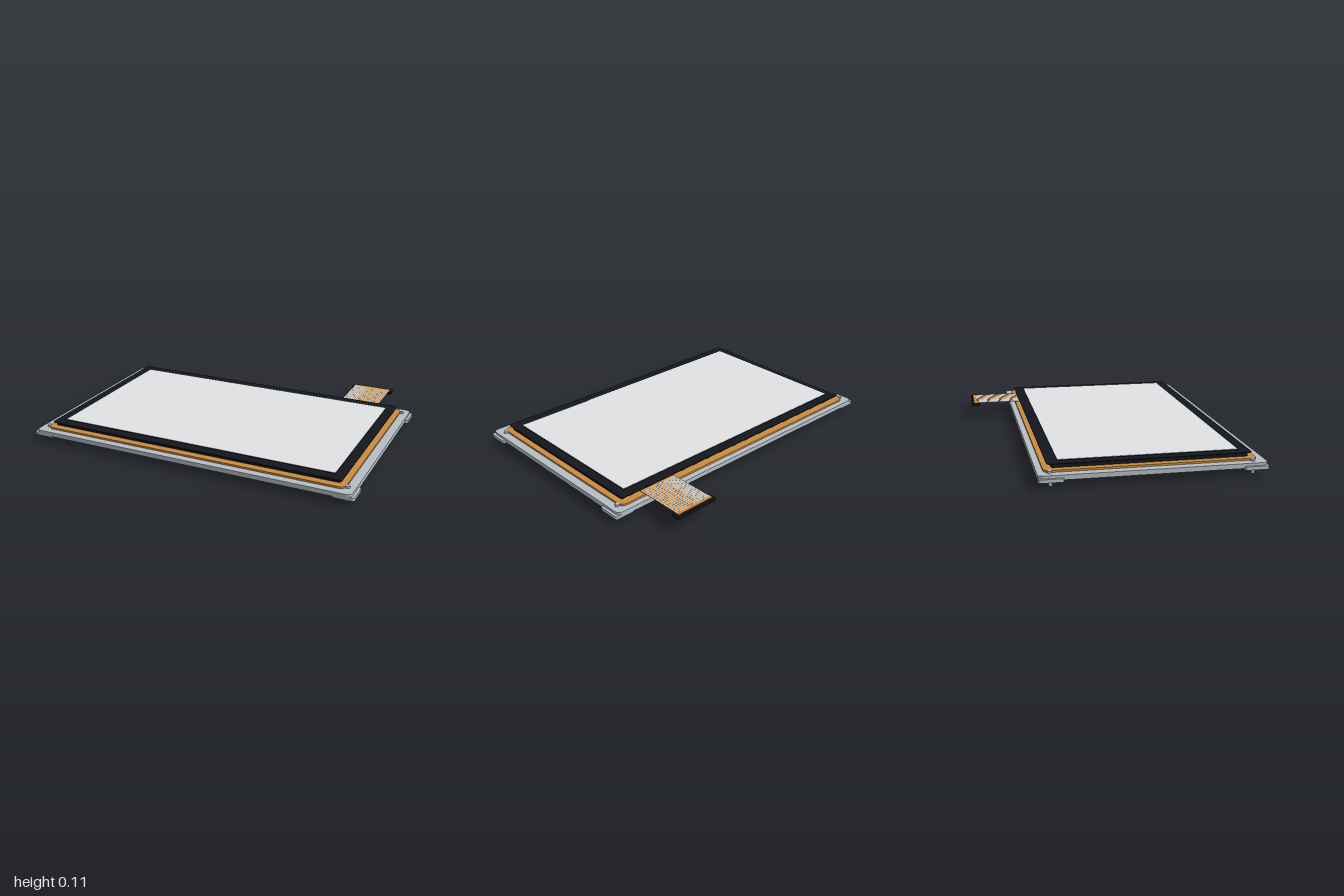
import * as THREE from 'three';

const mat = (name, color) => {
  const m = new THREE.MeshStandardMaterial({ color });
  m.name = name;
  return m;
};

// Rounded rectangle outline, centred on the origin
function outline(PathType, w, d, r) {
  const p = new PathType(), x = w / 2, y = d / 2;
  p.moveTo(-x + r, -y);
  p.lineTo(x - r, -y);
  p.absarc(x - r, -y + r, r, -Math.PI / 2, 0);
  p.lineTo(x, y - r);
  p.absarc(x - r, y - r, r, 0, Math.PI / 2);
  p.lineTo(-x + r, y);
  p.absarc(-x + r, y - r, r, Math.PI / 2, Math.PI);
  p.lineTo(-x, -y + r);
  p.absarc(-x + r, -y + r, r, Math.PI, Math.PI * 1.5);
  return p;
}

export function createModel() {
  const group = new THREE.Group();
  group.name = 'displayPanel';
  const steel = mat('steel', 0xb6bec6);
  const amber = mat('amber', 0xcb8c3f);
  const silver = mat('silver', 0xc2cad2);
  const black = mat('black', 0x14161e);
  const panelGrey = mat('panelGrey', 0x474c58);
  const connectorBlack = mat('connectorBlack', 0x14151a);
  const screenGrey = mat('screenGrey', 0xe2e3e4);

  const add = (name, geometry, material, x = 0, y = 0, z = 0) => {
    const mesh = new THREE.Mesh(geometry, material);
    mesh.name = name;
    mesh.position.set(x, y, z);
    group.add(mesh);
    return mesh;
  };

  // Flat layer from y0 to y1, centred on z, optionally with a window
  const layer = (name, material, w, d, r, y0, y1, z, hole) => {
    const s = outline(THREE.Shape, w, d, r);
    if (hole) s.holes.push(outline(THREE.Path, ...hole));
    const g = new THREE.ExtrudeGeometry(s, { depth: y1 - y0, bevelEnabled: false, curveSegments: 6 });
    g.rotateX(-Math.PI / 2);
    return add(name, g, material, 0, y0, z);
  };
  const box = (name, material, x0, x1, y0, y1, z0, z1) =>
    add(name, new THREE.BoxGeometry(x1 - x0, y1 - y0, z1 - z0), material,
      (x0 + x1) / 2, (y0 + y1) / 2, (z0 + z1) / 2);

  // Stacked layers, bottom to top
  layer('mountingFrame', steel, 1.97, 1.24, 0.03, 0.045, 0.072, 0.13, [1.73, 1.0, 0.01]);
  layer('gasket', amber, 1.87, 1.16, 0.035, 0.072, 0.083, 0.125, [1.65, 0.92, 0.01]);
  layer('panelBack', panelGrey, 1.79, 1.065, 0.012, 0.083, 0.085, 0.1275);
  layer('panelBody', black, 1.8, 1.075, 0.012, 0.085, 0.106, 0.1275);
  layer('coverGlass', black, 1.825, 1.12, 0.02, 0.106, 0.11, 0.125);
  layer('screenBlock', black, 1.712, 0.996, 0.003, 0.11, 0.113, 0.125);
  layer('screen', screenGrey, 1.71, 0.994, 0.003, 0.113, 0.1145, 0.125);

  // Corner brackets with locating pins and screw heads
  for (const sx of [-1, 1]) {
    for (const [z, zPin] of [[-0.4225, -0.42], [0.6825, 0.68]]) {
      const bracket = layer('cornerBracket', steel, 0.12, 0.133, 0.012, 0.038, 0.057, z);
      bracket.position.x = sx * 0.94;
      add('pin', new THREE.CylinderGeometry(0.009, 0.009, 0.045, 16), steel, sx * 0.938, 0.0225, zPin);
      add('screwHead', new THREE.CylinderGeometry(0.012, 0.012, 0.012, 20), steel, sx * 0.943, 0.078, zPin - 0.005);
    }
  }

  // Ribbon cable with fine conductors
  box('ribbonCable', amber, 0.545, 0.785, 0.095, 0.097, -0.735, -0.41);
  const count = 17;
  for (let i = 0; i < count; i++) {
    const x = 0.553 + (0.224 * i) / (count - 1);
    const w = i < 6 ? 0.0055 : 0.0032;
    box('conductor', silver, x - w, x + w, 0.097, 0.0973, -0.718, -0.436);
  }
  box('connector', connectorBlack, 0.533, 0.8, 0.076, 0.095, -0.75, -0.7);

  return group;
}
